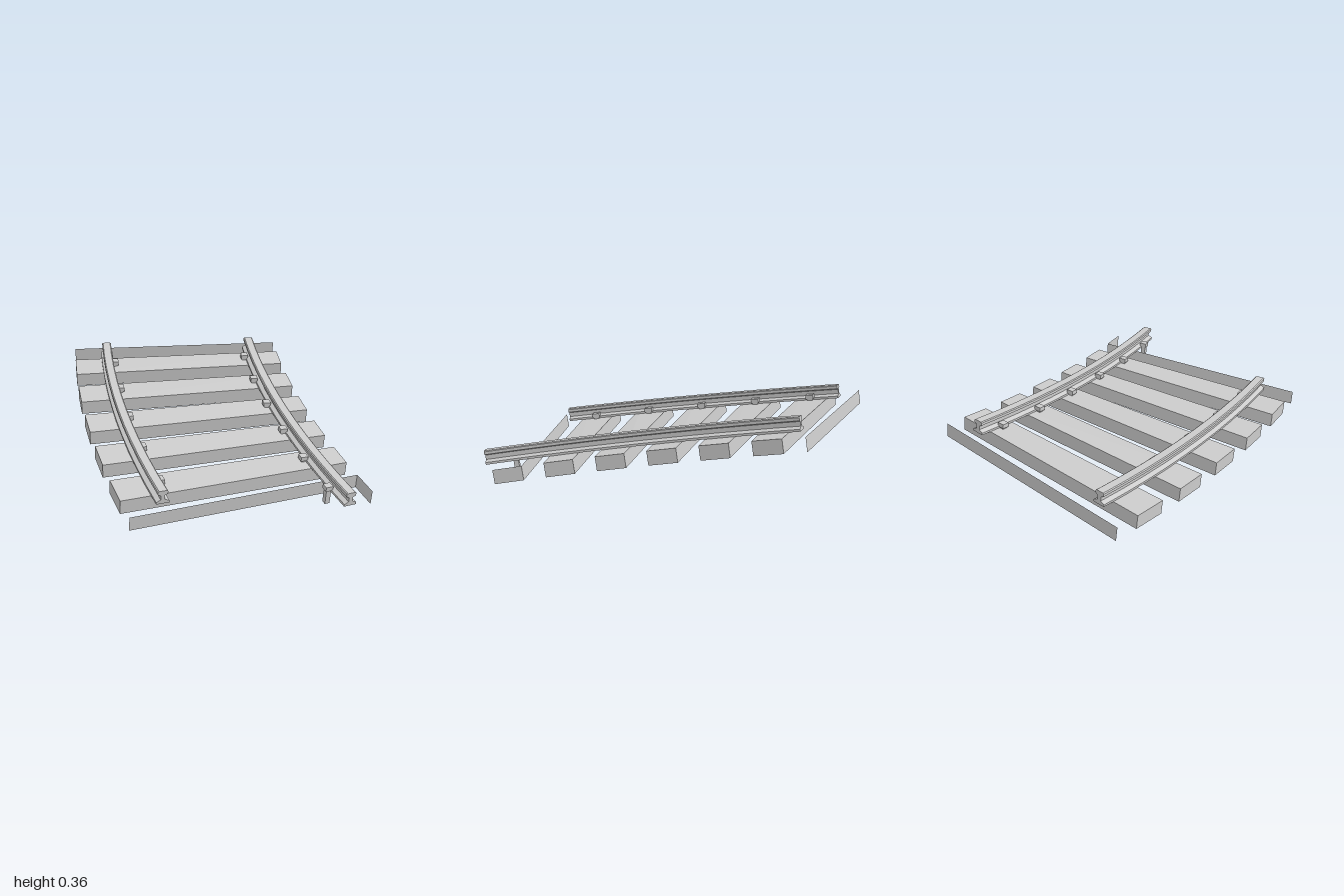
import * as THREE from 'three';

// Track space: x = radius from the curve centre, y = height above the bed, z = angle in degrees.
const CENTRE = { x: 4.283, z: 3.138 };
const SLOPE = 0.0133;          // rise per degree
const TILT = 0.142;            // lean of the cross-section, radians
const STEP = 2.96, MID = 36.57, HALF = 0.84;   // sleeper spacing, middle and half width
const R_IN = 4.77, R_OUT = 5.9, DEPTH = 0.07;

const material = new THREE.MeshStandardMaterial({ color: 0xcccccc, flatShading: true });
const thin = new THREE.MeshStandardMaterial({ color: 0xcccccc, flatShading: true, side: THREE.DoubleSide });

// Bends a geometry from track space onto the climbing curve.
function bend(geometry) {
  const p = geometry.attributes.position;
  for (let i = 0; i < p.count; i++) {
    const r = p.getX(i), h = p.getY(i), deg = p.getZ(i);
    const a = THREE.MathUtils.degToRad(deg);
    const c = Math.cos(a), s = Math.sin(a), lean = -Math.sin(TILT) * h;
    p.setXYZ(i,
      CENTRE.x - r * c + lean * s,
      0.1 + SLOPE * (deg - 28.55) + Math.cos(TILT) * h,
      CENTRE.z - r * s - lean * c);
  }
  geometry.computeVertexNormals();
  return geometry;
}

function add(parent, name, geometry, mat = material) {
  const mesh = new THREE.Mesh(bend(geometry), mat);
  mesh.name = name;
  parent.add(mesh);
}

// Box between two radii, heights and angles.
function block(r0, r1, h0, h1, a0, a1) {
  return new THREE.BoxGeometry(r1 - r0, h1 - h0, a1 - a0)
    .translate((r0 + r1) / 2, (h0 + h1) / 2, (a0 + a1) / 2);
}

// I-shaped rail profile: half width and height, foot to head.
const HALF_PROFILE = [
  [0.031, 0], [0.031, 0.011], [0.010, 0.021], [0.010, 0.043],
  [0.024, 0.049], [0.024, 0.063], [0.019, 0.067],
];

function rail(radius, from, to) {
  const right = HALF_PROFILE.map(([w, h]) => new THREE.Vector2(radius + w, h));
  const left = HALF_PROFILE.map(([w, h]) => new THREE.Vector2(radius - w, h)).reverse();
  return new THREE.ExtrudeGeometry(new THREE.Shape([...right, ...left]), {
    depth: to - from, steps: Math.round((to - from) / STEP) * 2, bevelEnabled: false,
  }).translate(0, 0, from);
}

// Spike with a square head gripping the rail foot.
function spike(parent, r, angle) {
  const group = new THREE.Group();
  group.name = 'spike';
  add(group, 'spikeHead', block(r - 0.018, r + 0.018, 0.008, 0.03, angle - 0.2, angle + 0.2));
  add(group, 'spikeShank', block(r - 0.012, r + 0.012, -0.064, 0.008, angle - 0.14, angle + 0.14));
  parent.add(group);
}

export function createModel() {
  const model = new THREE.Group();
  model.name = 'curvedTrack';

  // Sleepers, tapering towards the inside of the curve
  for (let k = -2; k <= 2; k++) {
    const a = MID + k * STEP;
    add(model, 'sleeper', block(R_IN, R_OUT, -DEPTH, 0, a - HALF, a + HALF));
  }

  // Open faces of the neighbouring sleepers at both ends
  const midR = (R_IN + R_OUT) / 2, first = MID - 3 * STEP, last = MID + 3 * STEP;
  const face = () => new THREE.PlaneGeometry(R_OUT - R_IN, DEPTH);
  add(model, 'lowerEndFace', face().translate(midR, -DEPTH / 2, first + HALF), thin);
  add(model, 'upperEndFace', face().rotateY(Math.PI).translate(midR, -DEPTH / 2, last - HALF), thin);
  add(model, 'lowerEndCap', new THREE.PlaneGeometry(2 * HALF, DEPTH)
    .rotateY(-Math.PI / 2).translate(R_IN, -DEPTH / 2, first), thin);

  // Rails; the inner one runs one sleeper further downhill
  add(model, 'outerRail', rail(5.725, 29.1, 43.95));
  add(model, 'innerRail', rail(4.927, 26.14, 43.95));

  // Spikes on the gauge side of each rail
  for (let k = -3; k <= 2; k++) {
    const a = MID + k * STEP;
    if (k > -3) spike(model, 5.687, a);
    spike(model, 4.968, a);
  }
  return model;
}
